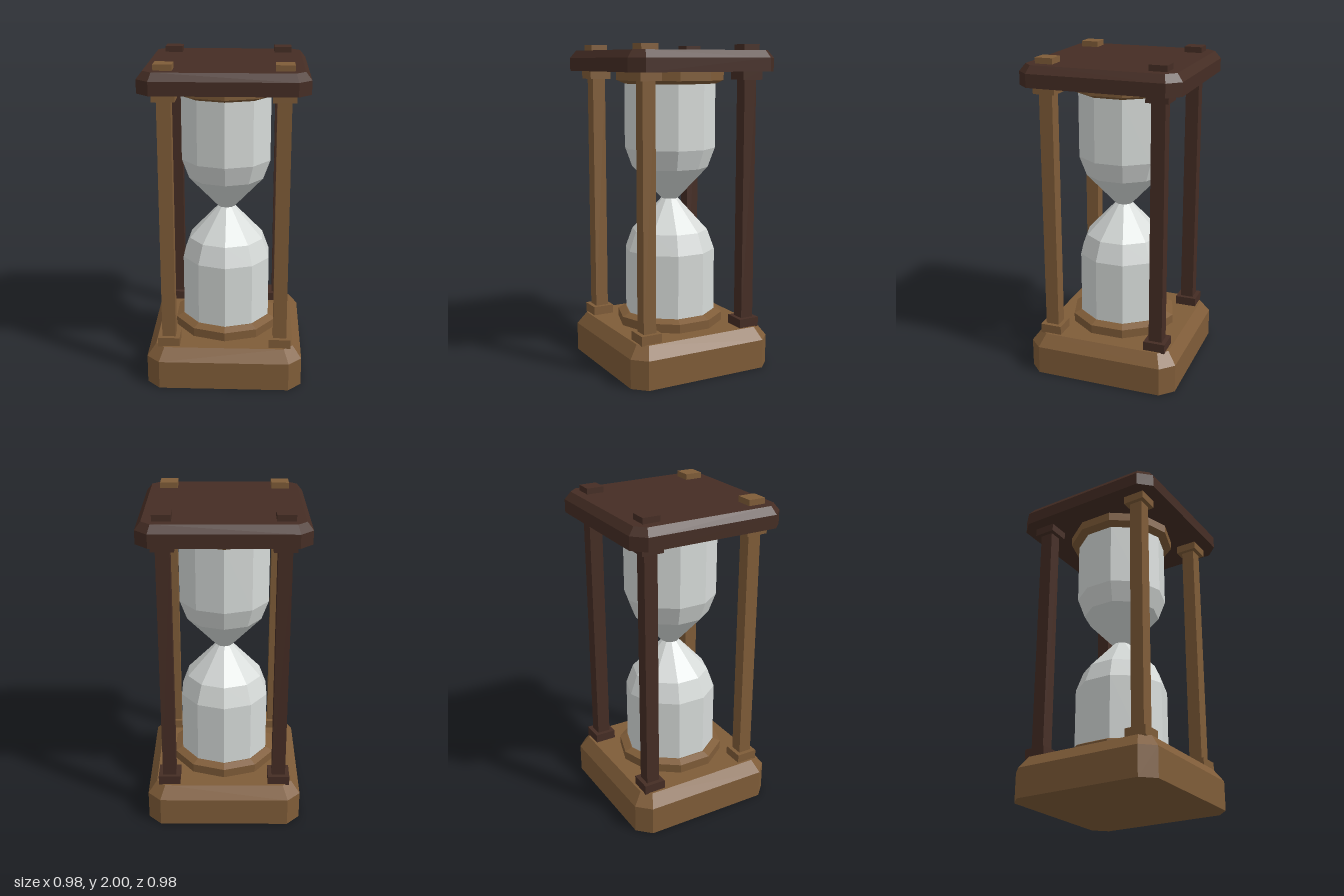
import * as THREE from 'three';
import { ConvexGeometry } from 'three/addons/geometries/ConvexGeometry.js';

const flat = (name, color) => {
  const m = new THREE.MeshStandardMaterial({ color, flatShading: true });
  m.name = name;
  return m;
};

// Square plate with cut corners; each level is [y, half width, corner start]
function plate(levels) {
  const points = [];
  for (const [y, h, c] of levels)
    for (const sx of [-1, 1])
      for (const sz of [-1, 1])
        points.push(new THREE.Vector3(sx * h, y, sz * c), new THREE.Vector3(sx * c, y, sz * h));
  return new ConvexGeometry(points);
}

// Ten-sided turned part; profile is [radius, y] from bottom to top
function turned(profile) {
  return new THREE.LatheGeometry(profile.map(([r, y]) => new THREE.Vector2(r, y)), 10);
}

export function createModel() {
  const lightWood = flat('light wood', 0x7f5c38);
  const darkWood = flat('dark wood', 0x452d24);
  const glass = flat('pale glass', 0xd6dad8);

  const model = new THREE.Group();
  model.name = 'hourglass';
  const add = (name, geometry, material, parent = model) => {
    const mesh = new THREE.Mesh(geometry, material);
    mesh.name = name;
    parent.add(mesh);
    return mesh;
  };

  // End plates
  add('base', plate([[0, 0.48, 0.4], [0.18, 0.48, 0.4], [0.255, 0.425, 0.37]]), lightWood);
  add('topPlate', plate([[1.84, 0.49, 0.415], [1.92, 0.49, 0.415], [1.965, 0.455, 0.4]]), darkWood);

  // Bevelled rings that hold the glass
  add('lowerRing', turned([[0, 0.25], [0.336, 0.25], [0.336, 0.31], [0.29, 0.33], [0, 0.33]]), lightWood);
  add('upperRing', turned([[0, 1.765], [0.29, 1.765], [0.336, 1.785], [0.336, 1.845], [0, 1.845]]), lightWood);

  // Two bulbs meeting at a narrow neck
  add('glassBulbs', turned([
    [0.285, 0.33], [0.285, 0.725], [0.24, 0.848], [0.053, 1.047],
    [0.24, 1.246], [0.285, 1.368], [0.285, 1.765],
  ]), glass);

  // Corner posts: light at the front, dark at the back
  for (const sx of [-1, 1])
    for (const sz of [-1, 1]) {
      const post = new THREE.Group();
      post.name = (sz > 0 ? 'front' : 'back') + (sx > 0 ? 'Left' : 'Right') + 'Post';
      post.position.set(sx * 0.343, 0, sz * 0.343);
      const wood = sz > 0 ? lightWood : darkWood;
      const block = (name, width, y0, y1) => {
        add(name, new THREE.BoxGeometry(width, y1 - y0, width), wood, post).position.y = (y0 + y1) / 2;
      };
      block('foot', 0.135, 0.25, 0.31);
      block('shaft', 0.083, 0.31, 1.79);
      block('head', 0.135, 1.79, 1.845);
      block('cap', 0.108, 1.95, 2);
      model.add(post);
    }
  return model;
}
